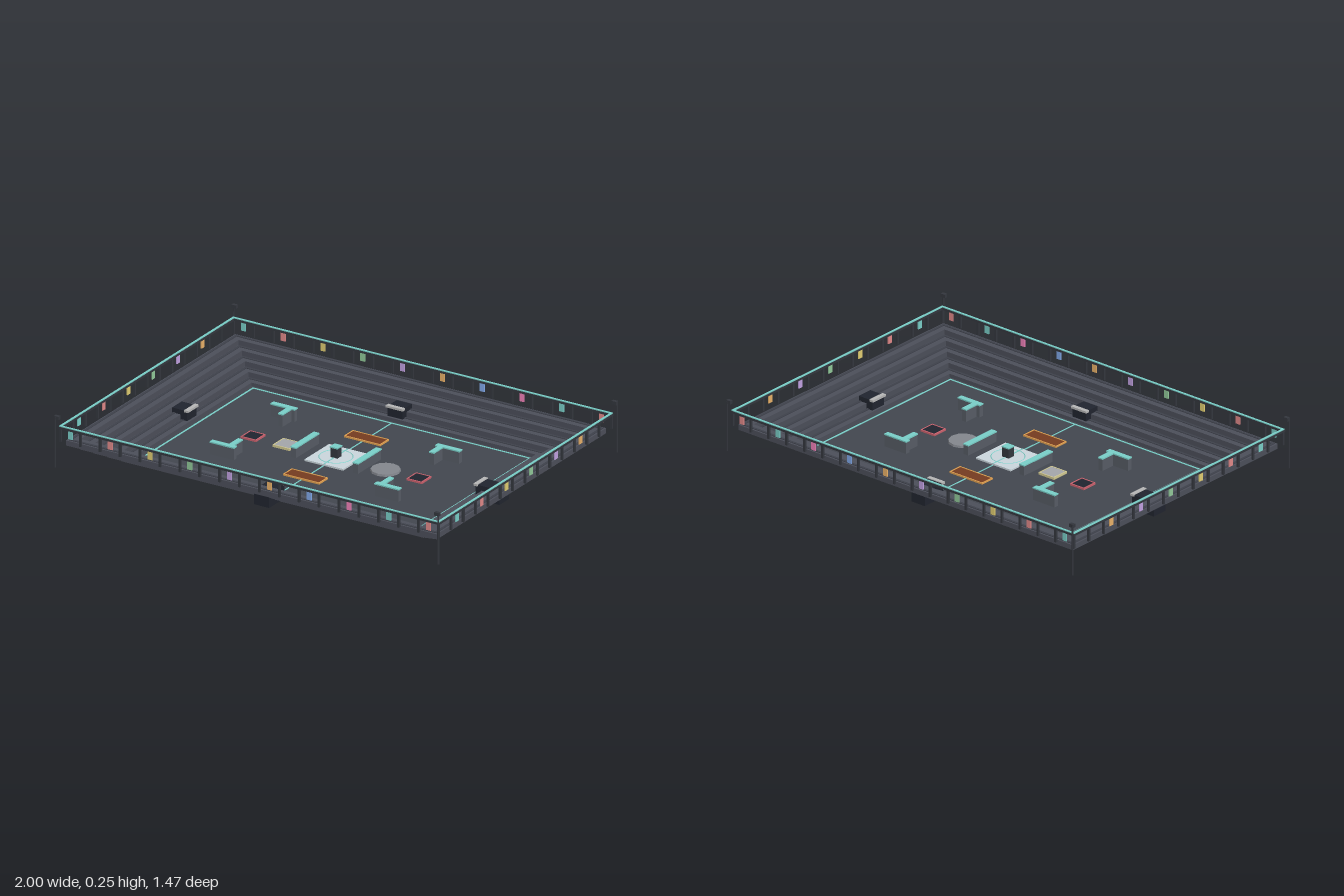
import * as THREE from 'three';

const mats = {};
const mat = (c) => (mats[c] ??= new THREE.MeshStandardMaterial({ color: c, flatShading: true }));
const TEAL = 0x78cdc6, STAND = 0x4b4e59, SEAT = 0x3d404a, FLOOR = 0x41464e, DARK = 0x20242e,
  STEEL = 0x33363d, LIGHT = 0xb4b4b4, RED = 0xc8606c, ORANGE = 0xe0a050;

export function createModel() {
  const root = new THREE.Group();

  const add = (geo, name, color, parent = root) => {
    const m = new THREE.Mesh(geo, mat(color));
    m.name = name;
    parent.add(m);
    return m;
  };
  // Box given by its centre in plan and its bottom height
  const box = (name, color, w, h, d, x, y, z, parent = root) => {
    const m = add(new THREE.BoxGeometry(w, h, d), name, color, parent);
    m.position.set(x, y + h / 2, z);
    return m;
  };
  // Rectangular frame between outer and inner half sizes
  const frame = (name, color, ox, oz, ix, iz, y, h, parent = root) => {
    const rect = (T, a, b) => {
      const s = new T();
      s.moveTo(-a, -b); s.lineTo(a, -b); s.lineTo(a, b); s.lineTo(-a, b); s.closePath();
      return s;
    };
    const s = rect(THREE.Shape, ox, oz);
    s.holes.push(rect(THREE.Path, ix, iz));
    const g = new THREE.ExtrudeGeometry(s, { depth: h, bevelEnabled: false });
    g.rotateX(-Math.PI / 2);
    const m = add(g, name, color, parent);
    m.position.y = y;
    return m;
  };
  const group = (name) => {
    const g = new THREE.Group();
    g.name = name;
    root.add(g);
    return g;
  };

  // Arena floor and its painted lines
  const F = 0.012;
  box('floor', FLOOR, 1.52, F, 0.99, 0, 0, 0);
  frame('floorBorder', TEAL, 0.722, 0.457, 0.714, 0.449, F, 0.002);
  box('centreLine', TEAL, 0.006, 0.002, 0.9, 0, F, 0);

  // Stepped stands, each tier with a seat row at its back
  const stands = group('stands');
  for (let i = 0; i < 5; i++) {
    const ox = 0.784 + i * 0.0445, oz = 0.517 + i * 0.0435, y = 0.004 + i * 0.0245;
    frame('tier', STAND, ox, oz, ox - 0.048, oz - 0.047, y, 0.0245, stands);
    frame('seatRow', SEAT, ox - 0.008, oz - 0.008, ox - 0.02, oz - 0.02, y + 0.0245, 0.003, stands);
  }

  // Entrance tunnels through the middle of each side
  for (let i = 0; i < 4; i++) {
    const t = group('tunnel');
    const end = i % 2 ? 0.872 : 0.607;
    box('tunnelPassage', DARK, 0.078, 0.07, 0.125, 0, 0.006, end - 0.0625, t);
    box('tunnelLintel', LIGHT, 0.088, 0.01, 0.02, 0, 0.07, end - 0.122, t);
    t.rotation.y = i * Math.PI / 2;
  }

  // Railing with posts and top rail
  const railing = group('railing');
  const RX = 0.98, RZ = 0.706, NX = 19, NZ = 14;
  frame('topRail', STEEL, RX + 0.007, RZ + 0.007, RX - 0.007, RZ - 0.007, 0.184, 0.01, railing);
  frame('railStrip', TEAL, RX + 0.005, RZ + 0.005, RX - 0.005, RZ - 0.005, 0.194, 0.004, railing);
  const post = (x, z) => box('railPost', STEEL, 0.01, 0.064, 0.01, x, 0.122, z, railing);
  for (const s of [-1, 1]) {
    for (let i = 0; i <= NX; i++) post(-RX + (2 * RX * i) / NX, s * RZ);
    for (let i = 1; i < NZ; i++) post(s * RX, -RZ + (2 * RZ * i) / NZ);
  }

  // Coloured banners hung between the posts
  const colors = [TEAL, 0xe08888, 0xe0cc70, 0x90c898, 0xc0a0e0, 0xe8b068, 0x80a8e8, 0xf080b8];
  const banners = group('banners');
  for (const s of [-1, 1]) {
    for (let k = 0; k < 10; k++)
      box('banner', colors[k % 8], 0.024, 0.04, 0.005, -RX + (2 * RX * (2 * k + 0.5)) / NX, 0.144, s * RZ, banners);
    for (let k = 0; k < 6; k++)
      box('banner', colors[k], 0.005, 0.04, 0.024, s * RX, 0.144, RZ - (2 * RZ * (2 * k + 1.5)) / NZ, banners);
  }

  // Corner light masts
  for (const sx of [-1, 1]) for (const sz of [-1, 1]) {
    const m = group('lightMast');
    const pole = add(new THREE.CylinderGeometry(0.004, 0.005, 0.24, 6), 'mastPole', STEEL, m);
    pole.position.set(sx * 0.994, 0.125, sz * 0.73);
    box('mastLamp', STEEL, 0.024, 0.016, 0.016, sx * 0.986, 0.234, sz * 0.724, m);
  }

  // Central platform with ring marking and pedestal
  const centre = group('centrePlatform');
  box('platform', 0xc8d4da, 0.2, 0.008, 0.2, 0, F, 0, centre);
  const ring = add(new THREE.TorusGeometry(0.075, 0.002, 4, 32), 'platformRing', TEAL, centre);
  ring.rotation.x = Math.PI / 2;
  ring.position.y = F + 0.008;
  box('platformLine', TEAL, 0.005, 0.002, 0.2, 0, F + 0.008, 0, centre);
  box('pedestal', STEEL, 0.036, 0.045, 0.036, 0, F + 0.008, 0, centre);
  box('pedestalCap', TEAL, 0.04, 0.006, 0.04, 0, F + 0.053, 0, centre);

  // Cover walls: grey body with a coloured cap
  const wall = (w, d, x, z, h, parent) => {
    box('wallBody', 0x565b64, w, h, d, x, F, z, parent);
    box('wallCap', TEAL, w + 0.004, 0.006, d + 0.004, x, F + h, z, parent);
  };
  for (const sx of [-1, 1]) {
    wall(0.026, 0.19, sx * 0.161, 0, 0.045, group('sideWall'));
    for (const sz of [-1, 1]) {
      const g = group('cornerWall');
      wall(0.123, 0.022, sx * 0.427, sz * 0.248, 0.055, g);
      wall(0.022, 0.072, sx * 0.392, sz * 0.2, 0.055, g);
    }
    // Dark floor hatches with red rims
    box('hatch', DARK, 0.07, 0.008, 0.07, sx * 0.43, F, 0);
    frame('hatchRim', RED, 0.04, 0.04, 0.034, 0.034, F, 0.009).position.x = sx * 0.43;
    // Brown pits with orange rims
    box('pit', 0x743b20, 0.18, 0.006, 0.064, 0, F, sx * 0.249);
    frame('pitRim', ORANGE, 0.094, 0.036, 0.089, 0.031, F, 0.008).position.z = sx * 0.249;
  }

  // Pale square pad and round stone pad
  box('squarePad', 0xa2a4a8, 0.08, 0.01, 0.08, -0.257, F, 0);
  frame('squarePadRim', 0xd0c890, 0.044, 0.044, 0.039, 0.039, F, 0.011).position.x = -0.257;
  const disc = add(new THREE.CylinderGeometry(0.066, 0.068, 0.01, 12), 'roundPad', 0x82858c);
  disc.position.set(0.257, F + 0.005, 0);

  return root;
}
